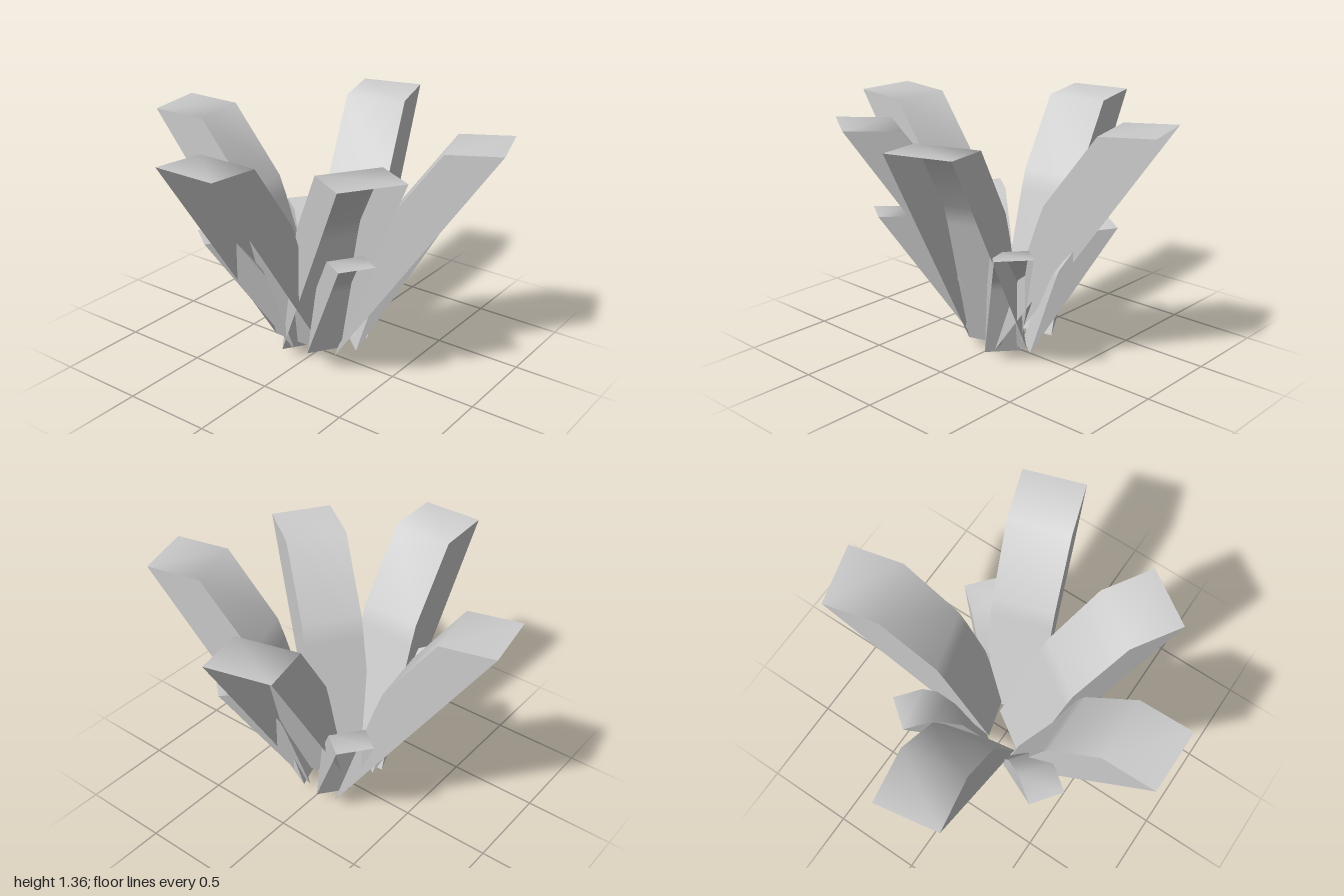
import * as THREE from 'three';

const WIDTH = 0.35;
// Side profile of a blade, base to tip: [distance outward, height]
const PROFILE = [[0, 0], [0.24, 0.75], [0.28, 0.86], [0.56, 1.25], [0.86, 1.27]];

const material = new THREE.MeshStandardMaterial({ color: 0xcccccc, side: THREE.DoubleSide });

// Sheet that rises steeply and bends outward to a flat tip
function sheetGeometry() {
  const n = PROFILE.length;
  const geo = new THREE.PlaneGeometry(1, WIDTH, n - 1, 1).rotateX(-Math.PI / 2);
  const pos = geo.attributes.position;
  for (let i = 0; i < pos.count; i++) {
    const [x, y] = PROFILE[i % n];
    pos.setXYZ(i, x, y, pos.getZ(i));
  }
  geo.computeVertexNormals();
  return geo;
}

// Flat cheek filling the side between the bent sheet and a straight line
function cheekGeometry() {
  return new THREE.ShapeGeometry(new THREE.Shape(PROFILE.map(([x, y]) => new THREE.Vector2(x, y))));
}

const sheet = sheetGeometry();
const cheek = cheekGeometry();

function makeBlade(name, tip, dir, baseY, scale) {
  const blade = new THREE.Group();
  blade.name = name;
  const top = new THREE.Mesh(sheet, material);
  top.name = 'bentSheet';
  blade.add(top);
  for (const side of [-1, 1]) {
    const wall = new THREE.Mesh(cheek, material);
    wall.name = side < 0 ? 'leftCheek' : 'rightCheek';
    wall.position.z = side * WIDTH / 2;
    blade.add(wall);
  }
  // Place by the tip, leaning along the outward direction
  const d = new THREE.Vector2(...dir).normalize();
  const reach = 0.86 * scale;
  blade.scale.setScalar(scale);
  blade.position.set(tip[0] - d.x * reach, baseY, tip[1] - d.y * reach);
  blade.rotation.y = Math.atan2(-d.y, d.x);
  return blade;
}

export function createModel() {
  const model = new THREE.Group();
  model.name = 'bladePlant';

  // name, tip centre [x, z], outward direction [x, z], base height, scale
  const blades = [
    ['backBlade', [-0.09, -0.97], [-0.17, -0.985], 0.065, 1],
    ['leftBlade', [0.935, -0.16], [0.967, -0.256], 0.085, 1],
    ['frontBlade', [0.335, 0.94], [0.31, 0.95], 0.065, 1],
    ['frontRightBlade', [-0.52, 0.69], [-0.55, 0.83], 0.045, 1],
    ['rightBlade', [-0.985, -0.045], [-1, 0], 0.085, 1],
    ['smallBackLeftBlade', [0.42, -0.44], [0.61, -0.79], 0, 0.56],
    ['smallFrontLeftBlade', [0.485, 0.455], [0.755, 0.655], 0.035, 0.56],
    ['smallBackRightBlade', [-0.52, -0.4], [-0.8, -0.6], 0.075, 0.56],
    ['smallFrontRightBlade', [-0.425, 0.545], [-0.56, 0.83], 0.115, 0.56],
  ];
  for (const b of blades) model.add(makeBlade(...b));
  return model;
}
